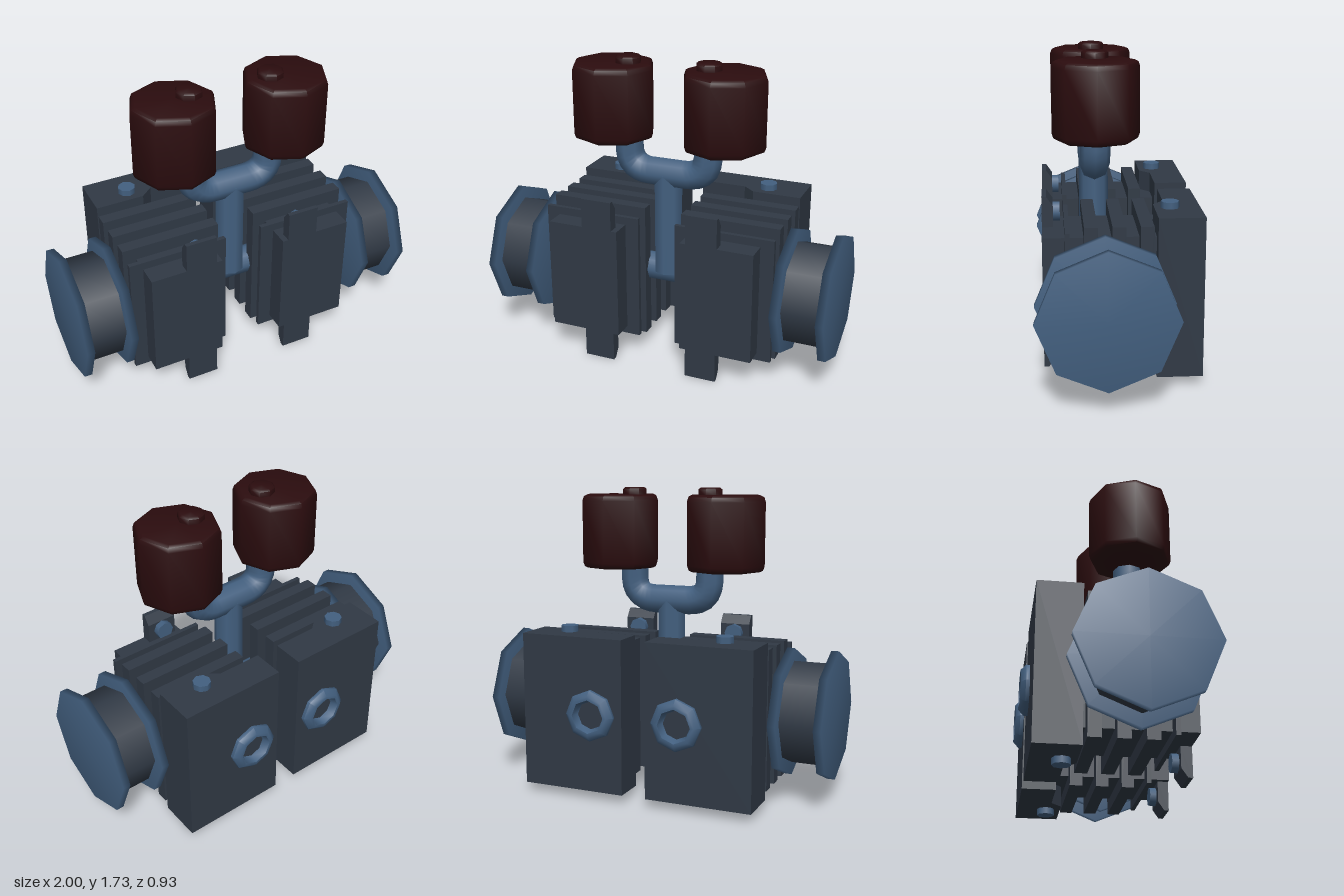
import * as THREE from 'three';
import { mergeVertices, toCreasedNormals } from 'three/addons/utils/BufferGeometryUtils.js';

const V = (x, y, z) => new THREE.Vector3(x, y, z);

export function createModel() {
  const model = new THREE.Group();
  const material = (name, color) => {
    const m = new THREE.MeshStandardMaterial({ color });
    m.name = name;
    return m;
  };
  const iron = material('dark iron', 0x303945);
  const steel = material('blue steel', 0x436080);
  const red = material('dark red', 0x2b0c0e);

  const MID = 0.4875; // height of the shaft and cylinder centres
  const PIPE_Z = 0.125;

  const add = (name, geometry, mat, x = 0, y = 0, z = 0) => {
    const mesh = new THREE.Mesh(geometry, mat);
    mesh.name = name;
    mesh.position.set(x, y, z);
    model.add(mesh);
    return mesh;
  };
  const box = (name, x, h, w, z0, z1) =>
    add(name, new THREE.BoxGeometry(w, h, z1 - z0), iron, x, MID, (z0 + z1) / 2);
  const cylX = (r, len) => new THREE.CylinderGeometry(r, r, len, 8).rotateZ(-Math.PI / 2);
  const lathe = (pts) => toCreasedNormals(
    new THREE.LatheGeometry(pts.map(p => new THREE.Vector2(...p)), 8), 0.9);
  const shape = (pts) => new THREE.Shape(pts.map(p => new THREE.Vector2(...p)));

  // One soft normal per corner, so the flange faces shade as rounded
  const soften = (g) => {
    g.deleteAttribute('normal');
    g.deleteAttribute('uv');
    const merged = mergeVertices(g, 1e-4);
    merged.computeVertexNormals();
    return merged;
  };

  // Shaft through both cylinders and the riser pipe
  add('shaft', cylX(0.083, 1.44), steel, 0, MID + 0.003, 0.1);
  add('riserPipe', new THREE.CylinderGeometry(0.083, 0.083, 0.6, 8), steel, 0, 0.79, PIPE_Z);

  for (const s of [1, -1]) {
    // Pulley wheel
    add('pulleyOuterFlange', soften(cylX(0.365, 0.043)), steel, s * 0.9785, 0.49, 0.1);
    add('pulleyInnerFlange', soften(cylX(0.365, 0.043)), steel, s * 0.73, 0.49, 0.1);
    add('pulleyDrum', cylX(0.293, 0.22), iron, s * 0.85, 0.49, 0.1);

    // Cylinder block with cooling fins
    box('cylinderBlock', s * 0.395, 0.64, 0.415, -0.3, 0.42);
    for (const z of [-0.155, -0.01, 0.135])
      box('coolingFin', s * 0.395, 0.79, 0.57, z, z + 0.07);
    box('frontFin', s * 0.395, 0.73, 0.57, 0.278, 0.303);

    // Stepped rear housing, extruded upwards
    const profile = [[0.07, 0.42], [0.68, 0.42], [0.68, 0.175], [0.4, 0.175], [0.33, 0.235], [0.07, 0.235]];
    const housing = new THREE.ExtrudeGeometry(shape(profile.map(([x, z]) => [x * s, z])),
      { depth: 0.875, bevelEnabled: false }).rotateX(-Math.PI / 2);
    add('rearHousing', housing, iron, 0, 0.05, 0);

    // Ring port on the back
    const port = lathe([[0.145, 0], [0.145, 0.02], [0.115, 0.046], [0.095, 0.046], [0.08, 0]])
      .rotateX(-Math.PI / 2);
    add('rearPort', port, steel, s * 0.257, 0.49, -0.42);

    // Lugs, studs and bolts, above and below
    for (const up of [1, -1]) {
      const side = [[0.42, 0.32], [0.42, 0.4875], [0.395, 0.4875], [0.36, 0.437], [0.36, 0.32]];
      const lug = new THREE.ExtrudeGeometry(shape(side.map(([z, y]) => [z, y * up])),
        { depth: 0.178, bevelEnabled: false }).rotateY(-Math.PI / 2);
      add('frontLug', lug, iron, s * 0.31 + 0.089, MID, 0);
      add('lugStud', new THREE.CylinderGeometry(0.053, 0.053, 0.04, 8).rotateX(Math.PI / 2),
        steel, s * 0.31, MID + up * 0.385, 0.343);
      add('housingBolt', new THREE.CylinderGeometry(0.05, 0.05, 0.06, 8),
        steel, s * 0.468, MID + up * 0.443, -0.258);
    }

    // Forked pipe branch
    const branch = new THREE.CurvePath();
    branch.add(new THREE.LineCurve3(V(0, 1.085, PIPE_Z), V(s * 0.1, 1.085, PIPE_Z)));
    branch.add(new THREE.QuadraticBezierCurve3(
      V(s * 0.1, 1.085, PIPE_Z), V(s * 0.235, 1.085, PIPE_Z), V(s * 0.235, 1.21, PIPE_Z)));
    branch.add(new THREE.LineCurve3(V(s * 0.235, 1.21, PIPE_Z), V(s * 0.235, 1.3, PIPE_Z)));
    add('pipeBranch', new THREE.TubeGeometry(branch, 12, 0.083, 8), steel);

    // Air filter canister with its cap
    add('filterCanister', lathe([[0, 0], [0.205, 0], [0.225, 0.01], [0.234, 0.035],
      [0.234, 0.39], [0.225, 0.415], [0.205, 0.425], [0, 0.425]]), red, s * 0.327, 1.265, PIPE_Z);
    add('filterCap', lathe([[0.073, 0], [0.073, 0.035], [0.06, 0.045], [0, 0.045]]),
      red, s * 0.235, 1.685, PIPE_Z);
  }
  return model;
}
